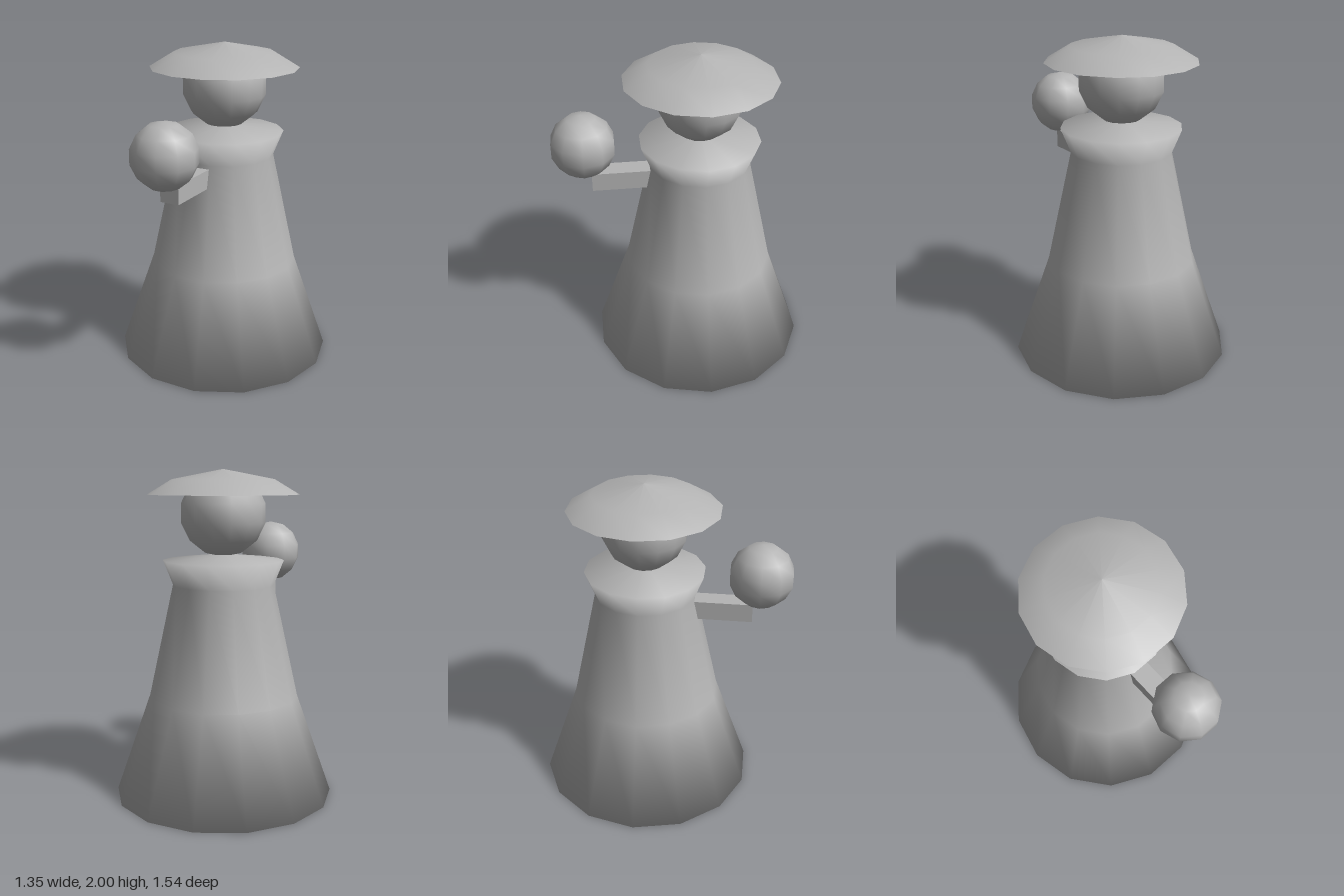
import * as THREE from 'three';

const SIDES = 14;
const AXIS_Z = -0.11; // the figure stands slightly behind the centre

export function createModel() {
  const model = new THREE.Group();
  model.name = 'robedFigure';

  const grey = new THREE.MeshStandardMaterial({ color: 0xb4b4b4, side: THREE.DoubleSide });
  grey.name = 'plain grey';

  const add = (name, geometry, x, y, z) => {
    const mesh = new THREE.Mesh(geometry, grey);
    mesh.name = name;
    mesh.position.set(x, y, z);
    model.add(mesh);
    return mesh;
  };

  // Turned part from [radius, height] pairs, with a corner on the x axis
  const turned = (profile) =>
    new THREE.LatheGeometry(
      profile.map(([r, y]) => new THREE.Vector2(r, y)), SIDES, Math.PI / 2);

  // Flared robe with closed base, narrow neck and spreading collar
  add('robe', turned([
    [0, 0], [0.675, 0], [0.458, 0.62], [0.307, 1.31], [0.367, 1.46], [0, 1.5],
  ]), 0, 0, AXIS_Z);

  // Head
  add('head', new THREE.SphereGeometry(0.26, SIDES, 7), 0, 1.74, AXIS_Z);

  // Wide hat, open underneath
  add('hat', turned([[0.456, 1.85], [0.307, 1.94], [0, 2]]), 0, 0, AXIS_Z);

  // Arm reaching forward out of the robe
  add('arm', new THREE.BoxGeometry(0.12, 0.115, 0.445), 0, 1.232, 0.322);

  // Ball held on the end of the arm
  add('ball', new THREE.SphereGeometry(0.198, 10, 7), 0, 1.463, 0.585);

  return model;
}
